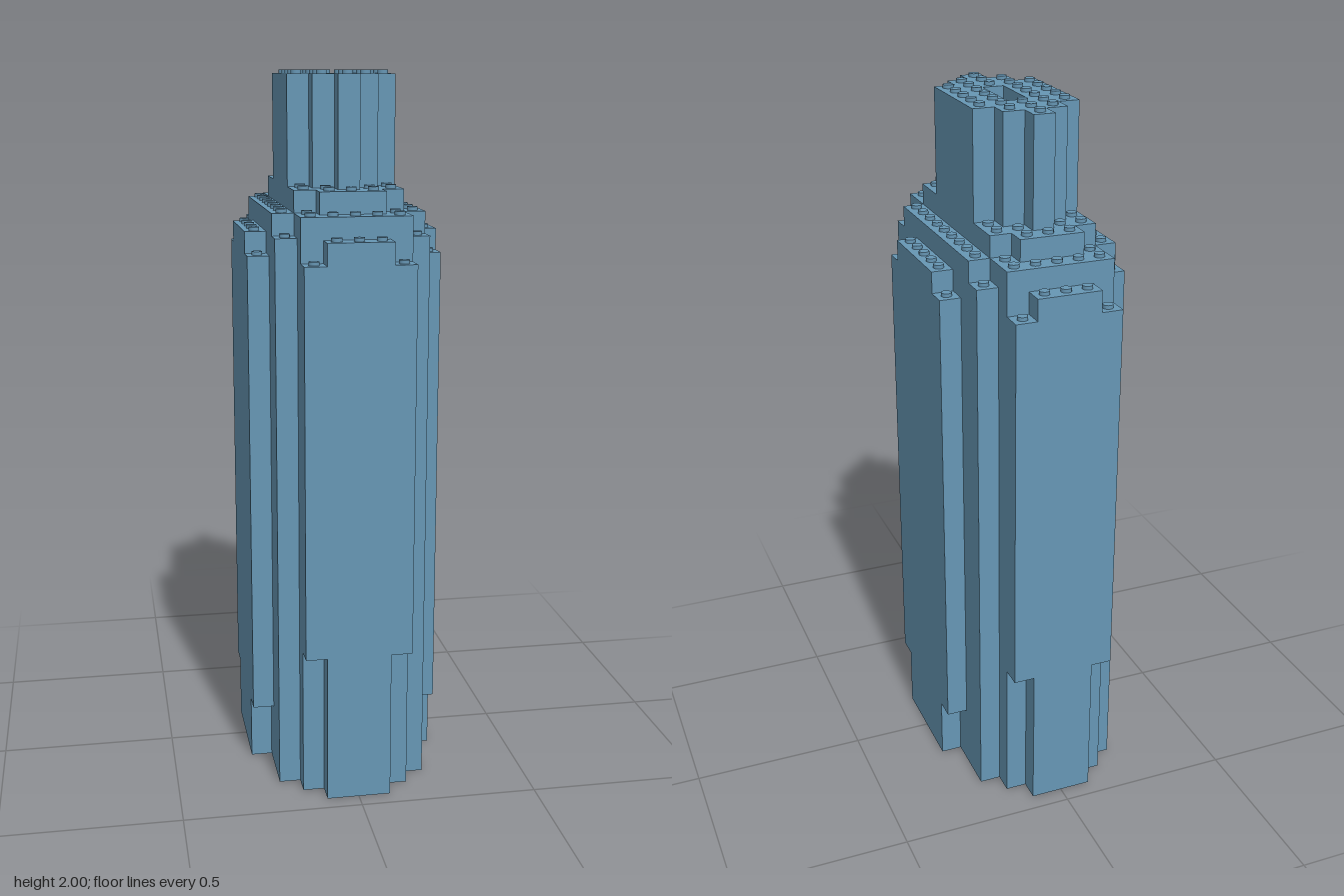
import * as THREE from 'three';
import { mergeGeometries } from 'three/addons/utils/BufferGeometryUtils.js';

const PITCH = 0.06;      // stud spacing
const H = 0.0603;        // height of one brick course
const STUD_R = 0.0145;
const STUD_H = 0.01;

// Plan of each run of courses: half width in studs for each row, from the middle row outwards.
const RUNS = [
  { name: 'base', count: 3, rows: [4, 4, 4, 3, 3, 3, 2, 1] },
  { name: 'lowerBody', count: 4, rows: [4, 4, 4, 4, 3, 3, 2, 1] },
  { name: 'mainShaft', count: 18, rows: [4, 4, 4, 4, 3, 3, 2, 2] },
  { name: 'shoulder', count: 1, rows: [4, 4, 4, 3, 3, 3, 2, 1] },
  { name: 'upperShoulder', count: 1, rows: [3, 3, 3, 3, 3, 2, 2] },
  { name: 'towerFoot', count: 1, rows: [2, 2, 2, 2, 2, 1] },
  { name: 'tower', count: 5, rows: [2, 2, 2, 1, 0], well: 1 },
];

// Stepped outline, mirrored in x and z; the well is an open shaft one stud wide.
function planShape({ rows, well }) {
  const quarter = [];
  rows.forEach((half, j) => {
    const x = (half + 0.5) * PITCH;
    if (j > 0 && rows[j - 1] !== half) quarter.push([x, (j - 0.5) * PITCH]);
    if (j === rows.length - 1 || rows[j + 1] !== half) quarter.push([x, (j + 0.5) * PITCH]);
  });
  const back = [...quarter].reverse();
  const outline = [
    ...quarter,
    ...back.map(([x, y]) => [-x, y]),
    ...quarter.map(([x, y]) => [-x, -y]),
    ...back.map(([x, y]) => [x, -y]),
  ];
  const shape = new THREE.Shape(outline.map(([x, y]) => new THREE.Vector2(x, y)));
  if (well !== undefined) {
    const x = PITCH / 2, y = (well + 0.5) * PITCH;
    shape.holes.push(new THREE.Path([[-x, -y], [-x, y], [x, y], [x, -y]]
      .map(([px, py]) => new THREE.Vector2(px, py))));
  }
  return shape;
}

function isFilled(run, i, j) {
  if (!run || Math.abs(j) >= run.rows.length) return false;
  if (run.well !== undefined && i === 0 && Math.abs(j) <= run.well) return false;
  return Math.abs(i) <= run.rows[Math.abs(j)];
}

// Studs wherever a run's top is not covered by the next run.
function studGeometry(run, next, top) {
  const studs = [];
  for (let j = -7; j <= 7; j++) {
    for (let i = -4; i <= 4; i++) {
      if (!isFilled(run, i, j) || isFilled(next, i, j)) continue;
      const stud = new THREE.CylinderGeometry(STUD_R, STUD_R, STUD_H, 16);
      studs.push(stud.translate(i * PITCH, top + STUD_H / 2, j * PITCH));
    }
  }
  return studs.length ? mergeGeometries(studs) : null;
}

export function createModel() {
  const model = new THREE.Group();
  model.name = 'brickSkyscraper';
  const blue = new THREE.MeshStandardMaterial({ color: 0x6797b5 });
  blue.name = 'dusty blue';

  let y = 0;
  RUNS.forEach((run, r) => {
    const section = new THREE.Group();
    section.name = run.name;
    model.add(section);

    // Brick courses
    const geometry = new THREE.ExtrudeGeometry(planShape(run), { depth: H, bevelEnabled: false });
    geometry.rotateX(-Math.PI / 2);
    for (let c = 0; c < run.count; c++, y += H) {
      const course = new THREE.Mesh(geometry, blue);
      course.name = 'brickCourse';
      course.position.y = y;
      section.add(course);
    }

    // Exposed studs
    const studs = studGeometry(run, RUNS[r + 1], y);
    if (studs) {
      const mesh = new THREE.Mesh(studs, blue);
      mesh.name = 'studs';
      section.add(mesh);
    }
  });
  return model;
}
